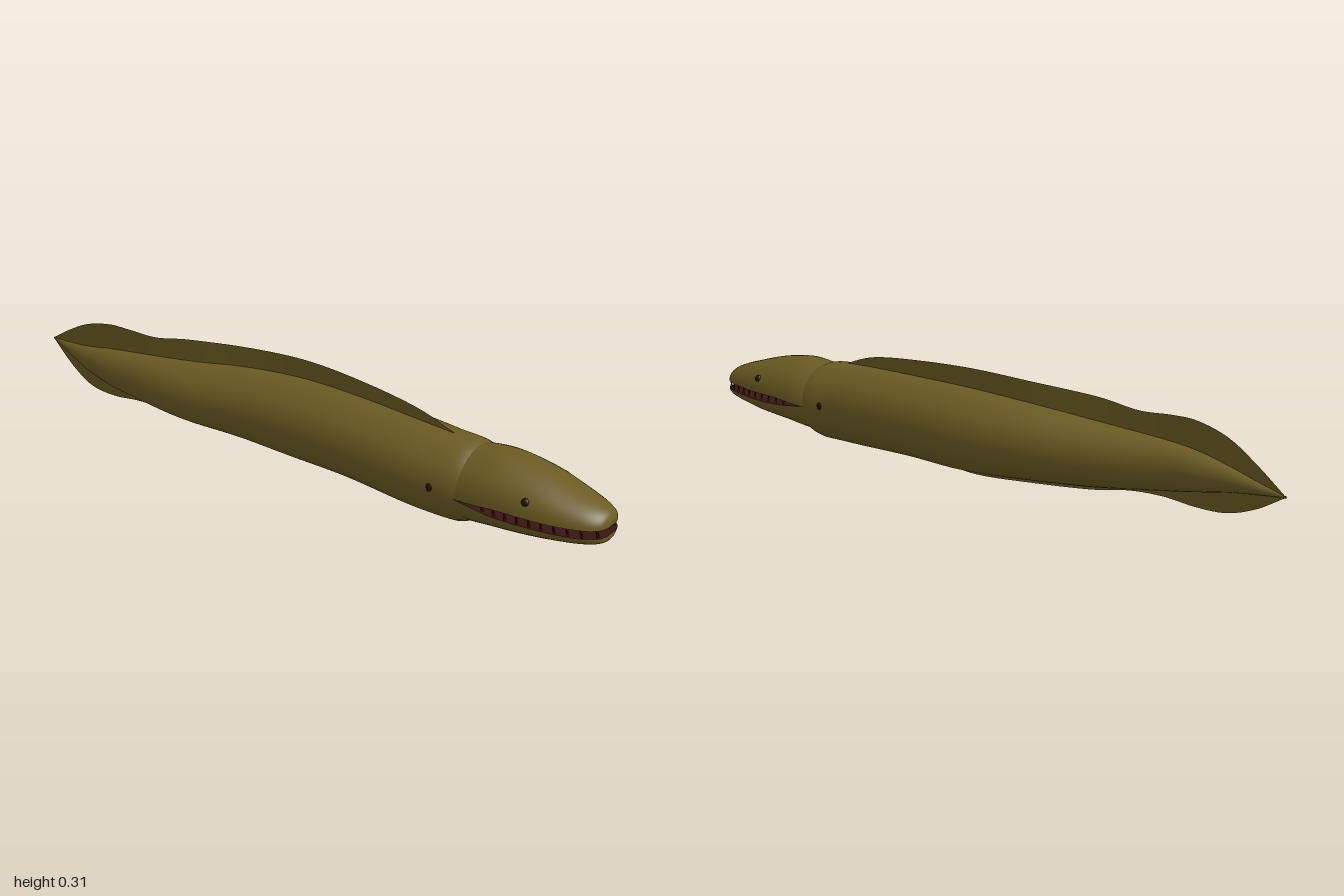
import * as THREE from 'three';

// Stations from nose to tail: [z, centre x, half width, top y, bottom y]
const BODY = [
  [0.61, -0.009, 0.112, 0.234, 0.026], [0.57, -0.01, 0.12, 0.246, 0.012], [0.5, -0.012, 0.122, 0.25, 0.01],
  [0.4, -0.008, 0.127, 0.253, 0.012], [0.2, 0.005, 0.126, 0.256, 0.018], [0, 0.01, 0.121, 0.254, 0.014],
  [-0.2, -0.004, 0.106, 0.24, 0.022], [-0.4, -0.036, 0.088, 0.217, 0.032], [-0.6, -0.057, 0.058, 0.197, 0.055],
  [-0.7, -0.06, 0.049, 0.184, 0.07], [-0.8, -0.053, 0.034, 0.163, 0.09], [-0.9, -0.033, 0.018, 0.143, 0.108],
  [-1, -0.01, 0.0005, 0.126, 0.124],
];
// Jaw stations: [z, centre x, half width, outer y of upper jaw, outer y of lower jaw]
const JAW = [
  [0.999, -0.01, 0.022, 0.152, 0.098], [0.987, -0.01, 0.05, 0.17, 0.086], [0.95, -0.012, 0.075, 0.187, 0.077],
  [0.88, -0.012, 0.098, 0.208, 0.068], [0.8, -0.01, 0.113, 0.23, 0.057], [0.7, -0.01, 0.12, 0.246, 0.046],
  [0.63, -0.009, 0.12, 0.243, 0.034], [0.56, -0.01, 0.112, 0.232, 0.03],
];
// Fin edges: [z, edge y]
const DORSAL = [[0.53, 0.245], [0.4, 0.285], [0.2, 0.305], [0, 0.312], [-0.2, 0.302], [-0.4, 0.285], [-0.52, 0.265],
  [-0.62, 0.267], [-0.7, 0.264], [-0.8, 0.237], [-0.9, 0.186], [-1, 0.125]];
const VENTRAL = [[0.15, 0.02], [0, 0.003], [-0.2, 0.011], [-0.38, 0.02], [-0.5, 0.037], [-0.6, 0.038], [-0.7, 0.028],
  [-0.8, 0.033], [-0.9, 0.068], [-1, 0.125]];

// Smooth resampling of a station table
function sample(rows, n) {
  const a = new THREE.CatmullRomCurve3(rows.map(r => new THREE.Vector3(r[0], r[1], r[2] ?? 0)), false, 'catmullrom');
  const b = new THREE.CatmullRomCurve3(rows.map(r => new THREE.Vector3(r[0], r[3] ?? 0, r[4] ?? 0)), false, 'catmullrom');
  return Array.from({ length: n + 1 }, (_, i) => {
    const p = a.getPoint(i / n), q = b.getPoint(i / n);
    return [p.x, p.y, p.z, q.y, q.z];
  });
}

// Linear lookup of a sampled table at z
function at(rows, z) {
  let i = 1;
  while (i < rows.length - 1 && rows[i][0] > z) i++;
  const k = THREE.MathUtils.clamp((rows[i - 1][0] - z) / (rows[i - 1][0] - rows[i][0]), 0, 1);
  return rows[i].map((v, j) => rows[i - 1][j] + (v - rows[i - 1][j]) * k);
}

// Skin over equal-length rings ordered nose to tail, with an optional front cap
function skin(rings, cap) {
  const n = rings[0].length, pos = rings.flat(2), idx = [];
  for (let i = 0; i < rings.length - 1; i++) {
    for (let j = 0; j < n - 1; j++) {
      const p = i * n + j;
      idx.push(p, p + n, p + 1, p + 1, p + n, p + n + 1);
    }
  }
  if (cap) {
    const base = pos.length / 3;
    pos.push(...rings[0].flat(), ...cap);
    for (let j = 0; j < n - 1; j++) idx.push(base + n, base + j, base + j + 1);
  }
  const g = new THREE.BufferGeometry();
  g.setAttribute('position', new THREE.Float32BufferAttribute(pos, 3));
  g.setIndex(idx);
  g.computeVertexNormals();
  return g;
}

// Arc of an ellipse in the plane of a station
function arc(z, cx, cy, rx, ry, a0, a1, n) {
  return Array.from({ length: n + 1 }, (_, j) => {
    const a = a0 + (a1 - a0) * j / n;
    return [cx + rx * Math.cos(a), cy + ry * Math.sin(a), z];
  });
}

export function createModel() {
  const olive = new THREE.MeshStandardMaterial({ color: 0x6b5b23 });
  const finOlive = new THREE.MeshStandardMaterial({ color: 0x685821, side: THREE.DoubleSide });
  const mouthMaroon = new THREE.MeshStandardMaterial({ color: 0x3a1512, side: THREE.DoubleSide });
  const eyeDark = new THREE.MeshStandardMaterial({ color: 0x24100c });
  olive.name = 'olive skin';
  finOlive.name = 'olive fin';
  mouthMaroon.name = 'maroon mouth';
  eyeDark.name = 'dark eye';

  const model = new THREE.Group();
  model.name = 'eel';
  const add = (name, geo, mat, parent = model) => {
    const m = new THREE.Mesh(geo, mat);
    m.name = name;
    parent.add(m);
    return m;
  };

  // Body, seam at the belly
  const body = sample(BODY, 72);
  const bodyRings = body.map(([z, cx, w, t, b]) =>
    arc(z, cx, (t + b) / 2, w, (t - b) / 2, -Math.PI / 2, Math.PI * 1.5, 28));
  add('body', skin(bodyRings, [body[0][1], 0.13, body[0][0]]), olive);

  // Fins follow the swaying centre line
  const fin = (name, rows, side) => {
    const rings = sample(rows, 60).map(([z, y]) => {
      const [, cx, , t, b] = at(body, z);
      const root = side > 0 ? Math.min(t, y) - 0.004 : Math.max(b, y) + 0.004;
      return [[cx, root, z], [cx, y, z]];
    });
    add(name, skin(rings), finOlive);
  };
  fin('dorsalFin', DORSAL, 1);
  fin('ventralFin', VENTRAL, -1);

  // Jaws: half shells with a flat mouth surface, meeting at the mouth corner
  const head = new THREE.Group();
  head.name = 'head';
  model.add(head);
  const jaw = sample(JAW, 42);
  const lip = (z, s) => 0.124 + s * 0.0115 * THREE.MathUtils.smoothstep(z, 0.58, 0.74);
  for (const s of [1, -1]) {
    const label = s > 0 ? 'upper' : 'lower';
    const shell = jaw.map(([z, cx, w, t, b]) => {
      const y = lip(z, s);
      return arc(z, cx, y, w, s > 0 ? t - y : y - b, s > 0 ? 0 : -Math.PI, s > 0 ? Math.PI : 0, 18);
    });
    add(label + 'Jaw', skin(shell, [jaw[0][1], lip(1, s), jaw[0][0]]), olive, head);
    const inner = jaw.map(([z, cx, w]) => [[cx + s * w, lip(z, s), z], [cx - s * w, lip(z, s), z]].reverse());
    add(label + 'MouthLining', skin(inner), mouthMaroon, head);
  }

  // Teeth along both jaw edges
  const tooth = new THREE.ConeGeometry(0.0045, 0.021, 5);
  for (const side of [1, -1]) {
    for (let i = 0; i < 20; i++) {
      const s = i % 2 ? 1 : -1;
      const z = 0.985 - 0.32 * (i >> 1) / 9.5 - (s > 0 ? 0.004 : 0);
      const [, cx, w] = at(jaw, z);
      const m = add(s > 0 ? 'upperTooth' : 'lowerTooth', tooth, mouthMaroon, head);
      m.position.set(cx + side * (w - 0.008), lip(z, s) - s * 0.0095, z);
      m.rotation.x = s > 0 ? Math.PI : 0;
      m.scale.y = Math.max(0.45, (lip(z, 1) - lip(z, -1)) / 0.023);
    }
  }

  // Eyes and gill openings, set on the skin
  const ball = new THREE.SphereGeometry(1, 12, 8);
  for (const side of [1, -1]) {
    const [ez, ex, ew, et] = at(jaw, 0.8);
    const ey = 0.178, k = (ey - lip(ez, 1)) / (et - lip(ez, 1));
    const eye = add('eye', ball, eyeDark, head);
    eye.position.set(ex + side * ew * Math.sqrt(1 - k * k), ey, ez);
    eye.scale.set(0.007, 0.011, 0.011);
    eye.rotation.z = side * 0.4;

    const [gz, gx, gw] = at(body, 0.52);
    const gill = add('gillOpening', ball, eyeDark);
    gill.position.set(gx + side * gw, 0.138, gz);
    gill.scale.set(0.004, 0.012, 0.009);
  }
  return model;
}
